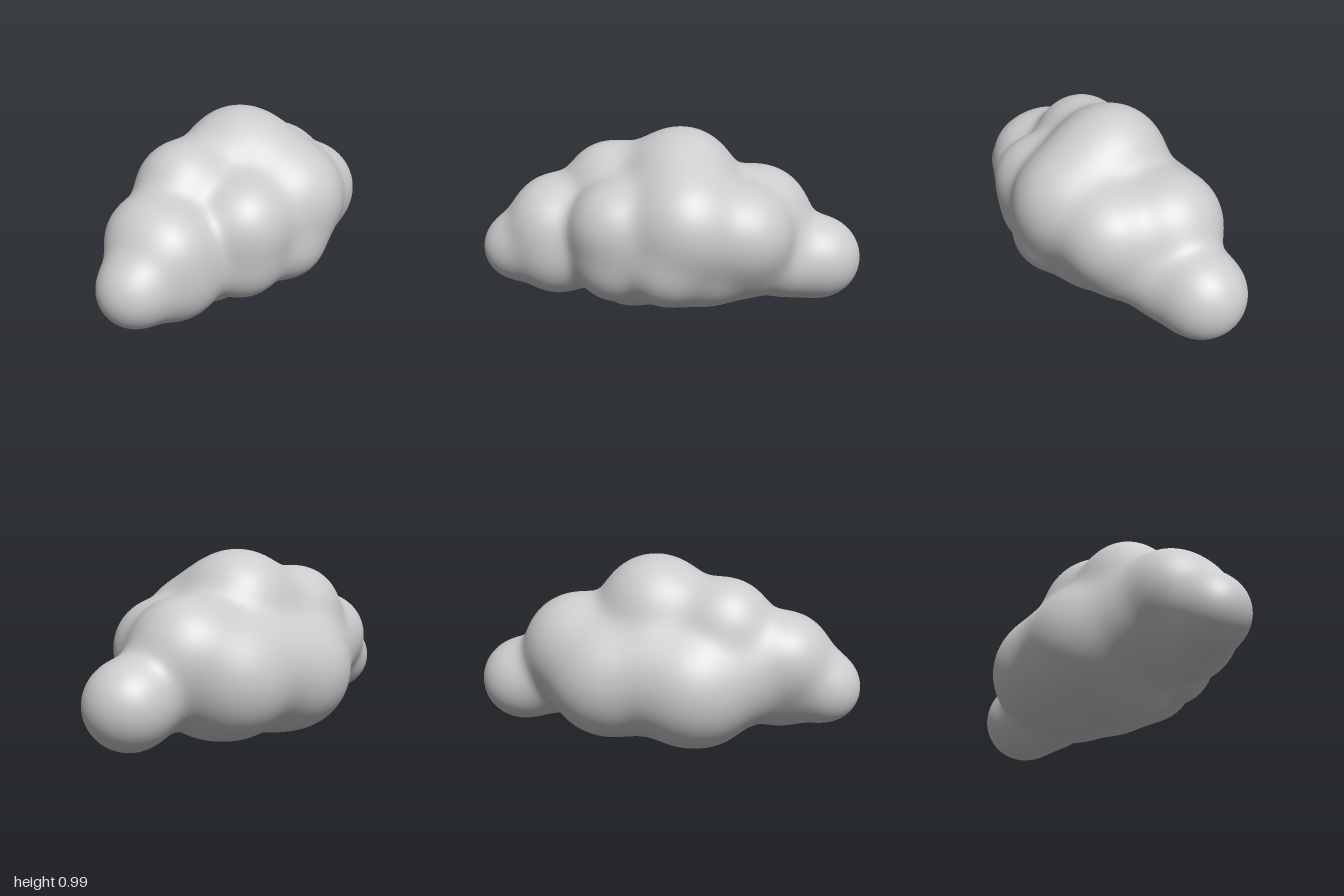
import * as THREE from 'three';
import { mergeVertices } from 'three/addons/utils/BufferGeometryUtils.js';

// Puffs of the cloud: x, y, z, radius
const puffs = [
  [0.05, 0.70, -0.045, 0.286],  // crown
  [0.07, 0.66, 0.09, 0.24],
  [-0.33, 0.66, -0.10, 0.23],   // left crown
  [-0.14, 0.67, -0.09, 0.19],
  [-0.62, 0.50, -0.06, 0.21],   // left shoulder
  [-0.62, 0.48, 0.06, 0.20],
  [-0.59, 0.33, 0.06, 0.215],
  [-0.82, 0.34, 0.02, 0.178],   // left tip
  [0.782, 0.295, -0.09, 0.217], // right tip
  [0.45, 0.50, -0.11, 0.28],    // right shoulder
  [0.60, 0.30, -0.01, 0.185],
  [0.25, 0.38, -0.20, 0.312],   // back
  [0.02, 0.42, -0.20, 0.27],
  [-0.18, 0.36, -0.20, 0.31],
  [-0.40, 0.42, -0.10, 0.25],
  [-0.25, 0.53, 0.21, 0.23],    // front
  [0.10, 0.555, 0.23, 0.28],
  [0.38, 0.50, 0.175, 0.238],
  [0.01, 0.35, 0.29, 0.185],
  [-0.26, 0.34, 0.21, 0.195],
  [0.40, 0.35, 0.10, 0.19],
  [-0.22, 0.22, -0.05, 0.21],   // underside
  [0.03, 0.23, -0.05, 0.19],
  [0.27, 0.26, -0.05, 0.20],
  [0.00, 0.27, 0.11, 0.18],
  [0.20, 0.32, 0.16, 0.20],
].map(([x, y, z, r]) => ({ centre: new THREE.Vector3(x, y, z), r }));

// Smoothly blended distance to all puffs
const BLEND = 0.042;
function distance(p) {
  let sum = 0;
  for (const { centre, r } of puffs) sum += Math.exp((r - p.distanceTo(centre)) / BLEND);
  return -BLEND * Math.log(sum);
}

// Shrink-wrap a fine sphere onto the blended puffs, along rays from a curved spine
function cloudGeometry() {
  let geo = new THREE.IcosahedronGeometry(1, 45);
  geo.deleteAttribute('uv');
  geo.deleteAttribute('normal');
  geo = mergeVertices(geo, 1e-5);
  const pos = geo.attributes.position;
  const origin = new THREE.Vector3();
  const dir = new THREE.Vector3();
  const p = new THREE.Vector3();
  for (let i = 0; i < pos.count; i++) {
    dir.fromBufferAttribute(pos, i);
    const x = 0.58 * dir.x;
    origin.set(x, 0.43 - 0.3 * x * x, -0.03 - 0.05 * x);
    let t = 1;
    for (let step = 0; step < 80; step++) {
      const d = distance(p.copy(origin).addScaledVector(dir, t));
      t -= d * 0.9;
      if (Math.abs(d) < 1e-4) break;
    }
    pos.setXYZ(i, p.x, p.y, p.z);
  }
  geo.computeVertexNormals();
  return geo;
}

export function createModel() {
  const group = new THREE.Group();
  group.name = 'cloud';
  const body = new THREE.Mesh(cloudGeometry(), new THREE.MeshStandardMaterial({ color: 0xcccccc }));
  body.name = 'cloudBody';
  group.add(body);
  return group;
}
